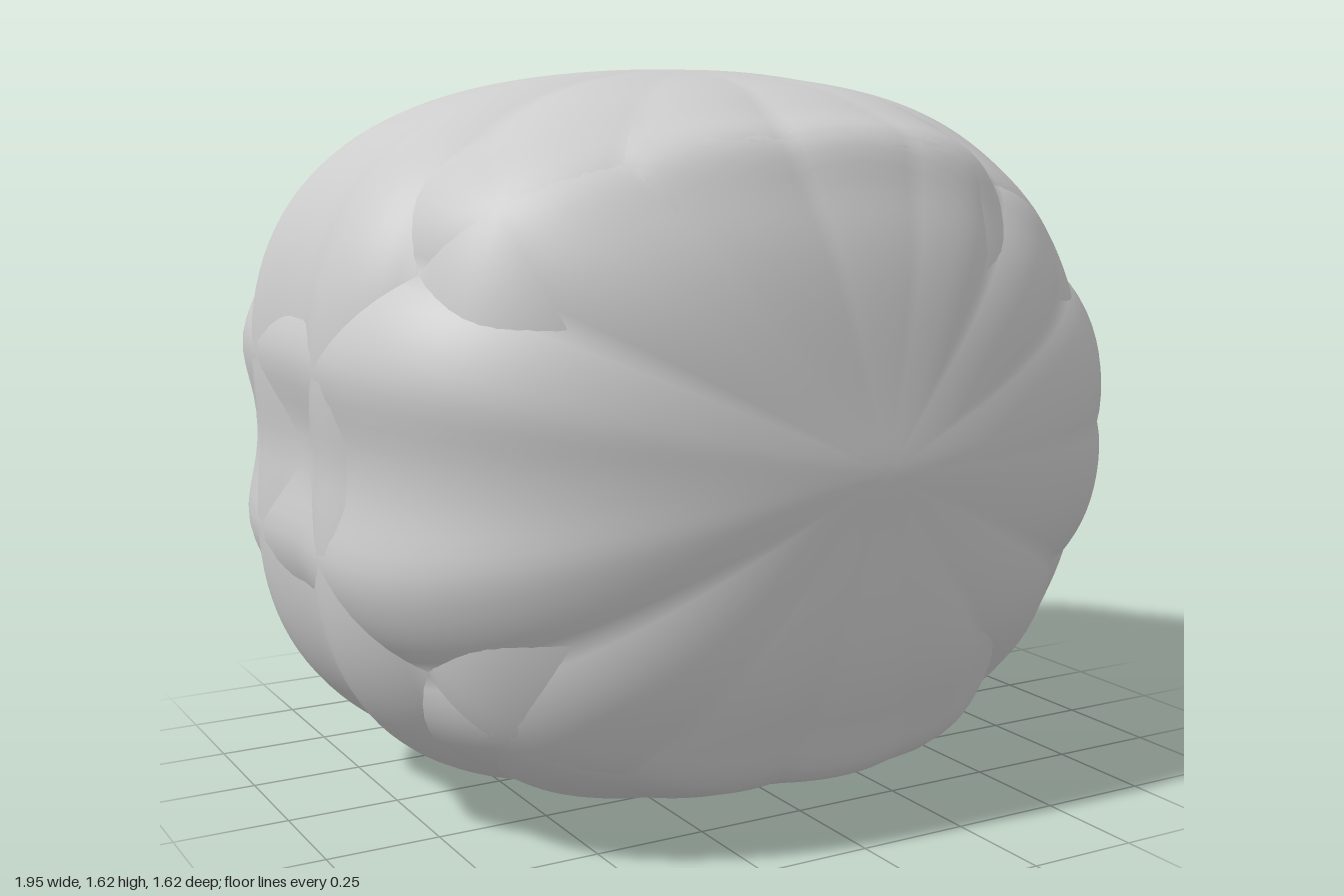
import * as THREE from 'three';
import { mergeVertices } from 'three/addons/utils/BufferGeometryUtils.js';

const { lerp, smoothstep } = THREE.MathUtils;
const HALF = 0.81;                       // half height and half depth
const RISE = 0.04;                       // how far each body stands out near its own poles
const STEP = Math.PI / 7;                // angle between creases
// crease depths from the +x side round to the -x side
const DEPTH = [0.035, 0.05, 0.055, 0.02, 0.035, 0.02, 0.06, 0.06];

const swell = (t) => 1 - Math.exp(-4 * (Math.sqrt(t * t + 0.003) - 0.055));

// pinched creases that fade out towards the poles
function lobes(d) {
  const t = Math.abs(Math.atan2(d.z, d.x)) / STEP;
  const k = Math.min(7, Math.round(t));
  const u = Math.min(1, Math.abs(t - k) * 2);
  const cut = k === 7 ? (1 - u * u) ** 2 : (1 - u) ** 2;
  return 1 - DEPTH[k] * cut * Math.hypot(d.x, d.z) ** 2.5;
}

// distance from the centre: a rounded square section, drawn in towards both ends
function radius(d) {
  const front = d.x > 0;
  const b = HALF / (1 + RISE * swell(1));
  const m = front
    ? lerp(3.7, 2.4, smoothstep(d.x, 0.1, 0.8))
    : lerp(3.7, 3, smoothstep(-d.x, 0.2, 0.9));
  const section = (Math.abs(d.y / b) ** m + Math.abs(d.z / b) ** m) ** (1 / m);
  const n = front ? 2.25 : 2.85;
  const base = (Math.abs(d.x / 0.995) ** n + section ** n) ** (-1 / n);
  // ridge along the four long edges
  const q = (Math.abs(d.y) - Math.abs(d.z)) / 0.12;
  const ridge = 1 + 0.035 * Math.exp(-q * q) * Math.hypot(d.y, d.z) ** 6;
  return base * ridge * (1 + RISE * (swell(d.y) - swell(d.z))) * lobes(d);
}

// lobed body with its poles on the y axis
function lobedBody() {
  let geo = new THREE.SphereGeometry(1, 168, 96);
  geo.deleteAttribute('uv');
  geo.deleteAttribute('normal');
  geo = mergeVertices(geo, 1e-5);
  const pos = geo.attributes.position;
  const d = new THREE.Vector3();
  for (let i = 0; i < pos.count; i++) {
    d.fromBufferAttribute(pos, i).normalize();
    d.multiplyScalar(radius(d));
    pos.setXYZ(i, d.x, d.y, d.z);
  }
  geo.computeVertexNormals();
  return geo;
}

export function createModel() {
  const group = new THREE.Group();
  group.name = 'lobedBoulder';
  const material = new THREE.MeshStandardMaterial({ color: 0xcccccc });
  const geo = lobedBody();

  // two identical bodies, a quarter turn apart about x, grown into one another
  ['uprightBody', 'forwardBody'].forEach((name, i) => {
    const mesh = new THREE.Mesh(geo, material);
    mesh.name = name;
    mesh.rotation.x = i * Math.PI / 2;
    mesh.position.y = HALF;
    group.add(mesh);
  });
  return group;
}
